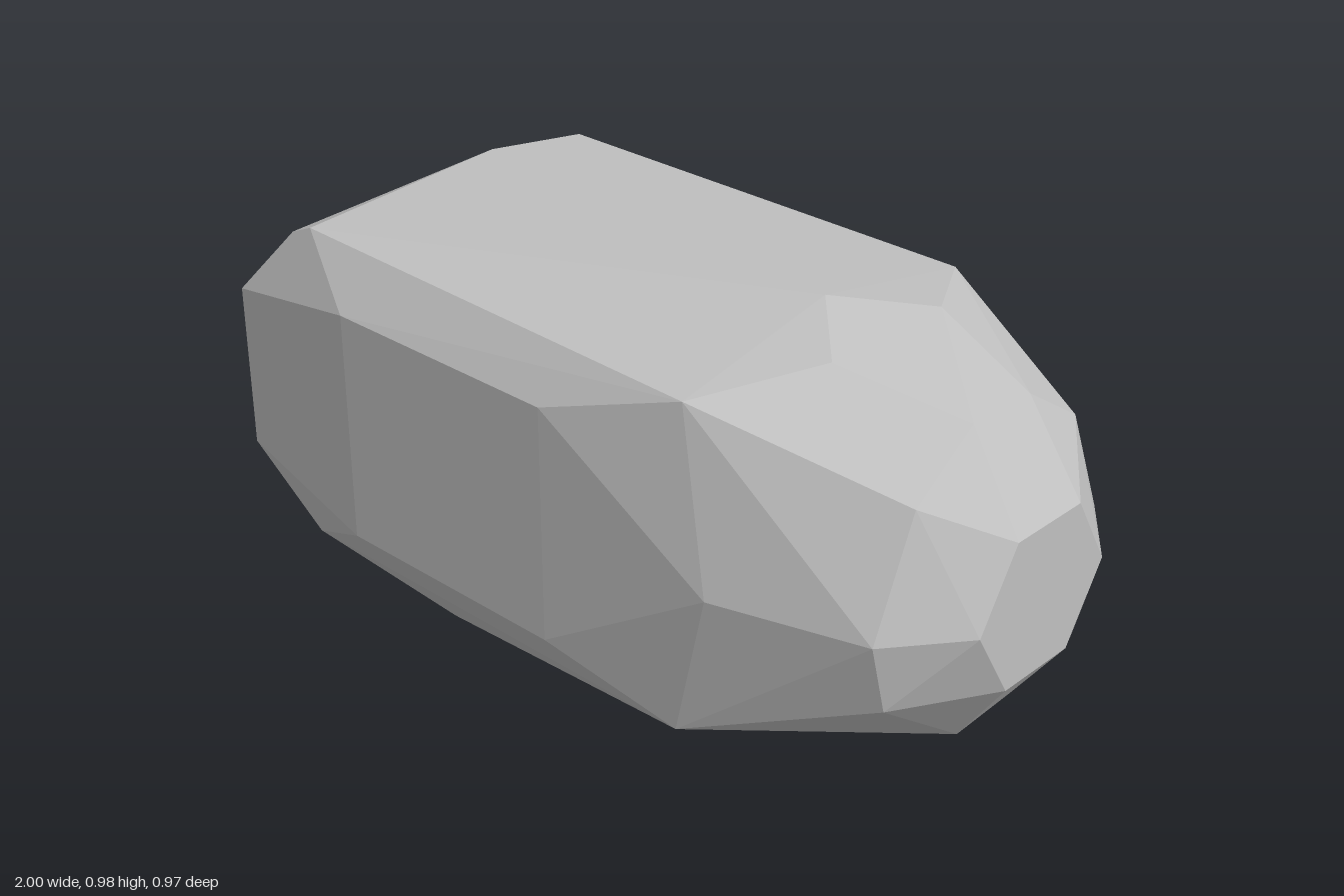
import * as THREE from 'three';
import { ConvexGeometry } from 'three/addons/geometries/ConvexGeometry.js';

export function createModel() {
  const group = new THREE.Group();
  group.name = 'rock';
  const stone = new THREE.MeshStandardMaterial({ color: 0xc0c0c0, flatShading: true });
  stone.name = 'stone grey';

  const points = [];
  const add = (x, y, z) => points.push(new THREE.Vector3(x, y, z));
  // corners that repeat on the front and back
  const pair = (x, y, z) => { add(x, y, z); add(x, y, -z); };

  // flat hexagonal tip
  pair(1, 0.68, 0.1);
  pair(1, 0.515, 0.2);
  pair(1, 0.35, 0.1);

  // ring of facets behind the tip
  add(0.86, 0.865, 0.07);
  add(0.86, 0.86, -0.11);
  pair(0.875, 0.765, 0.253);
  pair(0.875, 0.515, 0.36);
  pair(0.875, 0.35, 0.315);
  add(0.87, 0.162, 0.06);
  add(0.87, 0.17, -0.115);

  // shoulder
  add(0.45, 0.975, 0.01);
  pair(0.6, 0.937, 0.168);
  pair(0.45, 0.895, 0.418);
  pair(0.55, 0.52, 0.462);
  pair(0.45, 0.16, 0.432);

  // broad flat sides
  for (const x of [-0.47, 0.13]) {
    pair(x, 0.792, 0.485);
    pair(x, 0.252, 0.485);
  }

  // top and lower edges at the blunt end
  add(-0.67, 0.905, 0.395);
  add(-0.67, 0.935, -0.14);
  add(-0.67, 0.895, -0.42);
  pair(-0.67, 0.16, 0.432);

  // blunt end
  add(-0.88, 0.71, 0.44);
  add(-0.88, 0.32, 0.44);
  add(-0.9, 0.725, -0.4);
  add(-0.885, 0.31, -0.437);
  add(-0.985, 0.745, 0.21);
  add(-0.99, 0.742, -0.03);
  add(-1, 0.65, -0.305);
  add(-1, 0.52, -0.2);
  add(-0.995, 0.36, 0.265);
  add(-0.975, 0.305, 0.25);
  add(-0.97, 0.28, 0.1);
  add(-0.97, 0.275, -0.085);

  // underside
  add(0.55, 0.058, -0.03);
  add(0.59, 0.077, 0.15);
  pair(0.02, 0.005, 0.1);
  pair(-0.13, 0.005, 0.27);
  pair(-0.36, 0.005, 0.305);
  add(-0.5, 0.005, 0.21);
  add(-0.58, 0.005, 0.04);
  add(-0.55, 0.005, -0.14);
  add(-0.34, 0, -0.2);

  const boulder = new THREE.Mesh(new ConvexGeometry(points), stone);
  boulder.name = 'boulder';
  group.add(boulder);
  return group;
}
